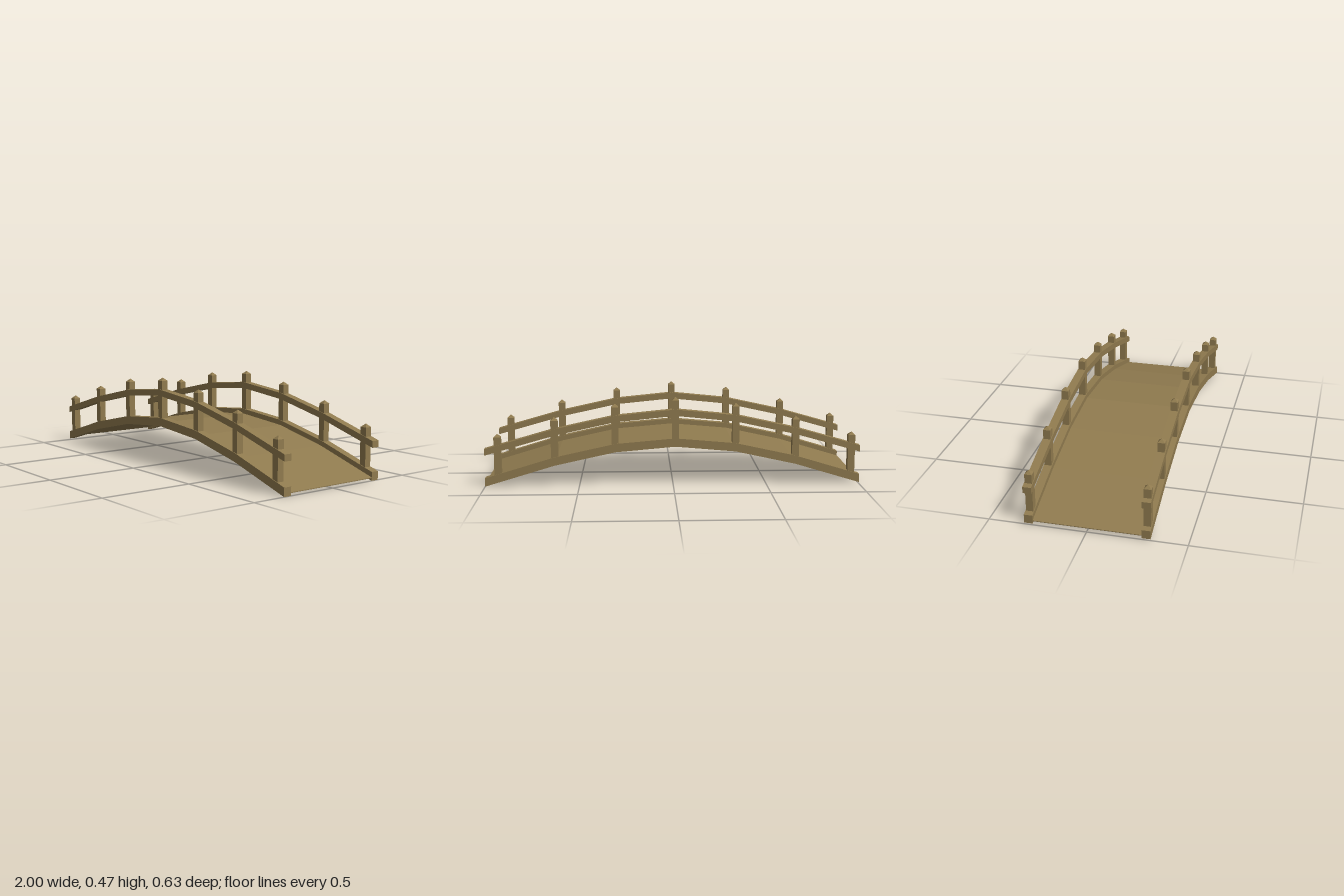
import * as THREE from 'three';

// The arch is symmetric about a line just left of centre
const CREST = -0.012;
const SPAN = 0.321;
// Heights of the arch at the crest, at each post bay and at the ends
const BEAM_BOTTOM = [0.209, 0.181, 0.111, 0];
const RAIL_BOTTOM = [0.375, 0.343, 0.273, 0.168];
const SIDE_Z = 0.295;

// Band that follows the arch in straight segments, extruded across z
function archBand(heights, lift, thickness, width) {
  const path = [];
  for (let i = -3; i <= 3; i++) {
    const d = Math.abs(i);
    let x = CREST + i * SPAN;
    let y = heights[d];
    if (d === 3) {
      x = Math.sign(i);
      const t = (Math.abs(x - CREST) - 2 * SPAN) / (1 - CREST - 2 * SPAN);
      y = THREE.MathUtils.lerp(heights[2], heights[3], t);
    }
    path.push(new THREE.Vector2(x, y + lift));
  }
  const top = path.map(p => new THREE.Vector2(p.x, p.y + thickness)).reverse();
  const geometry = new THREE.ExtrudeGeometry(new THREE.Shape([...path, ...top]), {
    depth: width, bevelEnabled: false,
  });
  return geometry.translate(0, 0, -width / 2);
}

export function createModel() {
  const model = new THREE.Group();
  model.name = 'archedFootbridge';
  const wood = new THREE.MeshStandardMaterial({ color: 0x907b4f });
  wood.name = 'weatheredWood';

  const add = (parent, name, geometry, x = 0, y = 0, z = 0) => {
    const mesh = new THREE.Mesh(geometry, wood);
    mesh.name = name;
    mesh.position.set(x, y, z);
    parent.add(mesh);
  };

  // Thin walkway between the side beams
  add(model, 'deck', archBand(BEAM_BOTTOM, 0.0135, 0.004, 0.55));

  const beam = archBand(BEAM_BOTTOM, 0, 0.045, 0.044);
  const rail = archBand(RAIL_BOTTOM, 0, 0.034, 0.044);

  // Four-sided pointed post cap
  const cap = new THREE.ConeGeometry(0.037 / Math.SQRT2, 0.017, 4, 1, true, Math.PI / 4).toNonIndexed();
  cap.computeVertexNormals();

  // Post distance from the crest, foot height and shoulder height
  const posts = [
    [0, 0.225, 0.456],
    [0.321, 0.195, 0.422],
    [0.642, 0.125, 0.352],
    [0.943, 0.04, 0.264],
  ];

  for (const side of [1, -1]) {
    const railing = new THREE.Group();
    railing.name = side > 0 ? 'frontRailing' : 'backRailing';
    railing.position.z = side * SIDE_Z;
    model.add(railing);
    add(railing, 'sideBeam', beam);
    add(railing, 'handrail', rail);

    for (const [d, foot, shoulder] of posts) {
      const height = shoulder - foot;
      const post = new THREE.BoxGeometry(0.037, height, 0.037);
      for (const s of d ? [-1, 1] : [1]) {
        const x = CREST + s * d;
        add(railing, 'post', post, x, foot + height / 2);
        add(railing, 'postCap', cap, x, shoulder + 0.0085);
      }
    }
  }
  return model;
}
